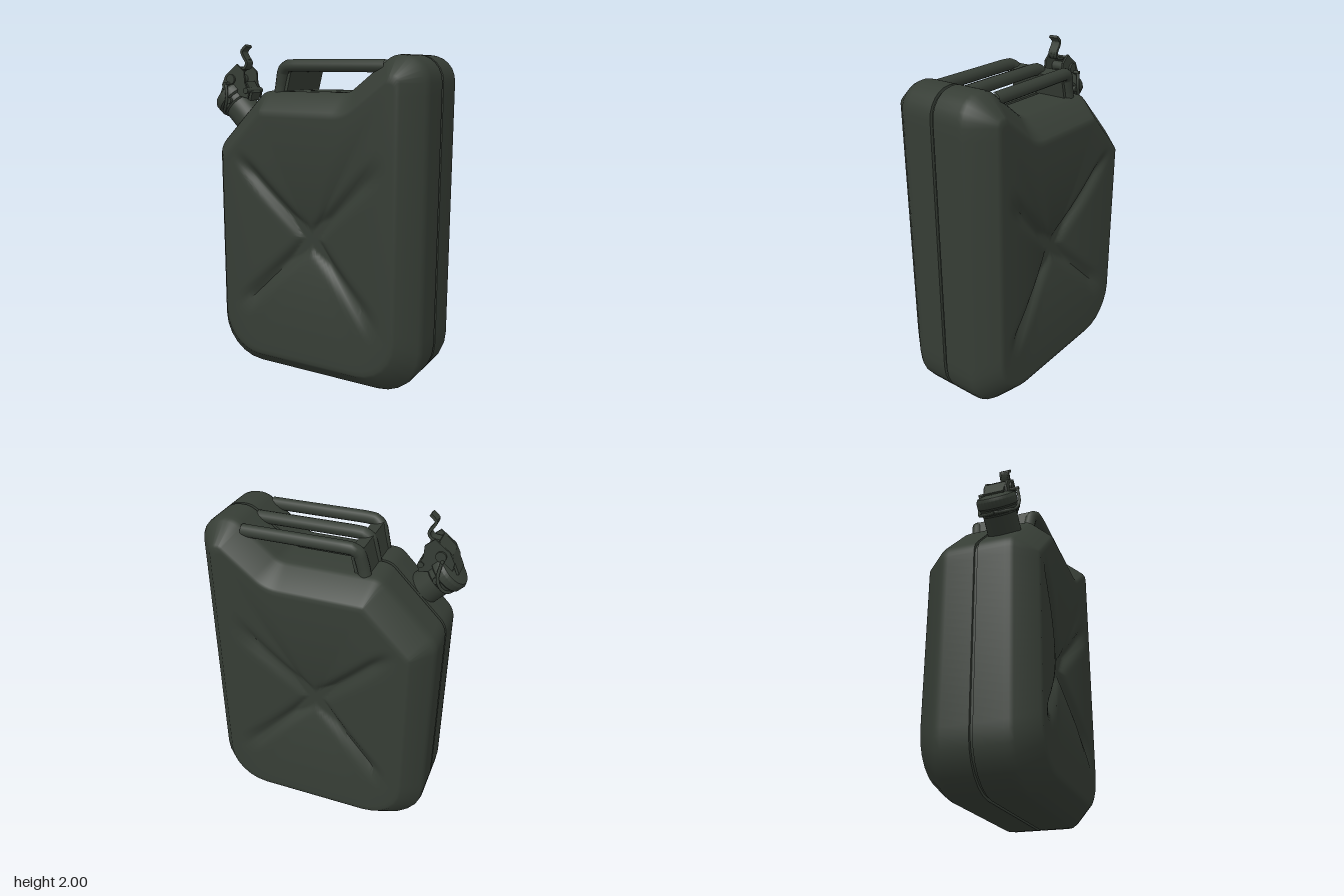
import * as THREE from 'three';
import { toCreasedNormals } from 'three/addons/utils/BufferGeometryUtils.js';

const paint = new THREE.MeshStandardMaterial({ color: 0x363d35 });
paint.name = 'olive green';

// Silhouette corners, counter-clockwise from the front: x, y, radius
const CORNERS = [
  [-0.66, 0, 0.28], [0.72, 0, 0.27], [0.72, 1.935, 0.15], [0.51, 1.935, 0.12],
  [0.25, 1.73, 0.1], [-0.32, 1.73, 0.1], [-0.66, 1.39, 0.14],
];
const CENTRE = new THREE.Vector2(0.035, 0.875);
const ARC = 6, EDGE = 22;

function mesh(name, geometry, parent) {
  const m = new THREE.Mesh(geometry, paint);
  m.name = name;
  parent.add(m);
  return m;
}

// Rounded silhouette moved inwards, always with the same number of points
function outline(inset) {
  const n = CORNERS.length, arcs = [];
  for (let i = 0; i < n; i++) {
    const at = (k) => new THREE.Vector2(...CORNERS[(i + k + n) % n]);
    const p = at(0), r0 = CORNERS[i][2];
    const d1 = p.clone().sub(at(-1)).normalize(), d2 = at(1).sub(p).normalize();
    const n1 = new THREE.Vector2(-d1.y, d1.x), n2 = new THREE.Vector2(-d2.y, d2.x);
    p.addScaledVector(n1.clone().add(n2), inset / (1 + n1.dot(n2)));
    const turn = Math.atan2(d1.cross(d2), d1.dot(d2)), s = Math.sign(turn);
    const r = s < 0 ? r0 + inset : Math.max(r0 - inset * (r0 > 0.2 ? 0.3 : 1), 0.02);
    const start = p.clone().addScaledVector(d1, -r * Math.tan(Math.abs(turn) / 2));
    const c = start.clone().addScaledVector(n1, r * s);
    const arc = [];
    for (let k = 0; k <= ARC; k++) arc.push(start.clone().rotateAround(c, turn * k / ARC));
    arcs.push(arc);
  }
  return arcs.flatMap((arc, i) => {
    const a = arc[ARC], b = arcs[(i + 1) % n][0], pts = [...arc];
    for (let k = 1; k < EDGE; k++) pts.push(a.clone().lerp(b, k / EDGE));
    return pts;
  });
}

// Bulging panels that fall away to the centre, parted by a channel along each diagonal
function pressing(x, y, k) {
  const u = x - CENTRE.x, v = y - CENTRE.y;
  const panel = 0.09 * Math.pow(1 - k, 2.2);
  const d = Math.abs(Math.abs(u) - Math.abs(v)) / Math.SQRT2;
  const channel = 0.036 * Math.exp(-((d / 0.036) ** 2)) * (1 - THREE.MathUtils.smoothstep(Math.hypot(u, v), 0.5, 0.71));
  return Math.min(panel + channel, 0.085);
}

function bodyGeometry() {
  // Half profile from the face centre to the seam: inset, z, scale about the centre
  const half = [];
  for (let k = 0; k <= 30; k++) half.push([0.122, 0.34, k / 30]);
  half.push([0.108, 0.332, 1], [0.015, 0.222, 1], [0.003, 0.2, 1], [0, 0.17, 1], [0, 0.01, 1], [0.016, 0.009, 1]);
  const rings = [...half.map((h) => [...h, 1]), ...half.slice().reverse().map((h) => [...h, -1])];
  const pos = [], idx = [];
  rings.forEach(([inset, z, k, side], i) => {
    const pts = outline(inset), n = pts.length;
    pts.forEach((p, j) => {
      const q = CENTRE.clone().lerp(p, k);
      const dip = k < 1 ? pressing(q.x, q.y, k) : 0;
      pos.push(q.x, q.y, side * (z - dip));
      if (i === rings.length - 1) return;
      const a = i * n + j, b = i * n + (j + 1) % n;
      idx.push(a, a + n, b, b, a + n, b + n);
    });
  });
  const g = new THREE.BufferGeometry();
  g.setAttribute('position', new THREE.Float32BufferAttribute(pos, 3));
  g.setIndex(idx);
  return toCreasedNormals(g, 0.9);
}

function tube(name, points, radius, parent, tension = 0.2) {
  const curve = new THREE.CatmullRomCurve3(points.map((p) => new THREE.Vector3(...p)), false, 'catmullrom', tension);
  return mesh(name, new THREE.TubeGeometry(curve, 40, radius, 12), parent);
}

// Flat bar following a path in the xy plane
function strap(name, points, z, width, thick, parent) {
  for (let i = 1; i < points.length; i++) {
    const [x0, y0] = points[i - 1], [x1, y1] = points[i];
    const m = mesh(name, new THREE.BoxGeometry(Math.hypot(x1 - x0, y1 - y0) + thick * 0.4, thick, width), parent);
    m.position.set((x0 + x1) / 2, (y0 + y1) / 2, z);
    m.rotation.z = Math.atan2(y1 - y0, x1 - x0);
  }
}

function pin(name, x, y, radius, length, parent) {
  const m = mesh(name, new THREE.CylinderGeometry(radius, radius, length, 16), parent);
  m.rotation.x = Math.PI / 2;
  m.position.set(x, y, 0);
}

function handles() {
  const g = new THREE.Group();
  g.name = 'carryingHandles';
  for (const z of [-0.2, 0, 0.2]) {
    const foot = z * 0.87;
    tube('handleBar', [[-0.237, 1.69, foot], [-0.222, 1.76, foot], [-0.2, 1.845, z * 0.92], [-0.165, 1.873, z * 0.98],
      [-0.1, 1.877, z], [0.1, 1.876, z], [0.47, 1.874, z]], 0.036, g);
  }
  // Solid bridge joining the three feet
  strap('handleBridge', [[-0.226, 1.69], [-0.185, 1.85]], 0, 0.37, 0.078, g);
  return g;
}

// Built upright, then tipped onto the sloping shoulder
function spout() {
  const g = new THREE.Group();
  g.name = 'spout';
  const lathe = (name, pts) => mesh(name,
    toCreasedNormals(new THREE.LatheGeometry(pts.map((p) => new THREE.Vector2(...p)), 32), 0.6), g);
  lathe('neck', [[0.1, -0.06], [0.1, 0.1], [0.108, 0.11], [0.108, 0.15], [0, 0.15]]);
  lathe('cap', [[0, 0.14], [0.11, 0.14], [0.12, 0.15], [0.12, 0.19], [0.108, 0.208], [0.06, 0.22], [0, 0.223]]);

  // Locking lever over the cap
  const plate = new THREE.Shape([[-0.01, 0.2], [0.05, 0.15], [0.11, 0.06], [0.14, 0.08], [0.16, 0.14], [0.205, 0.19], [0.2, 0.26], [0.09, 0.275], [0.03, 0.255]]
    .map((p) => new THREE.Vector2(...p)));
  for (const z of [-0.072, 0.06]) {
    mesh('leverCheek', new THREE.ExtrudeGeometry(plate, { depth: 0.012, bevelEnabled: false }), g).position.z = z;
  }
  strap('leverTop', [[-0.03, 0.225], [0.07, 0.262], [0.17, 0.258]], 0, 0.12, 0.014, g);
  const tongue = new THREE.SplineCurve([[0.16, 0.255], [0.205, 0.222], [0.24, 0.233], [0.25, 0.275], [0.262, 0.303], [0.285, 0.306], [0.308, 0.304]]
    .map((p) => new THREE.Vector2(...p)));
  strap('leverTongue', tongue.getPoints(20).map((p) => p.toArray()), 0.01, 0.06, 0.016, g);
  strap('hingeLug', [[0.1, 0.06], [0.135, 0.08], [0.15, 0.15]], 0, 0.09, 0.02, g);
  pin('leverPin', 0.106, 0.225, 0.03, 0.17, g);
  pin('wirePin', 0.08, 0.215, 0.01, 0.25, g);
  pin('hingePin', 0.135, 0.1, 0.018, 0.16, g);
  pin('bailStud', 0.02, 0.13, 0.02, 0.24, g);

  // Wire bail gripping the collar on both sides
  for (const s of [-1, 1]) {
    tube('wireBail', [[0.08, 0.215, 0.115 * s], [0.03, 0.15, 0.124 * s], [-0.03, 0.12, 0.114 * s],
      [-0.077, 0.12, 0.082 * s], [-0.108, 0.125, 0]], 0.009, g, 0.5);
  }
  g.position.set(-0.5, 1.56, 0.11);
  g.rotation.z = Math.PI / 4;
  return g;
}

export function createModel() {
  const model = new THREE.Group();
  model.name = 'fuelCan';
  mesh('body', bodyGeometry(), model);
  model.add(handles(), spout());
  return model;
}
